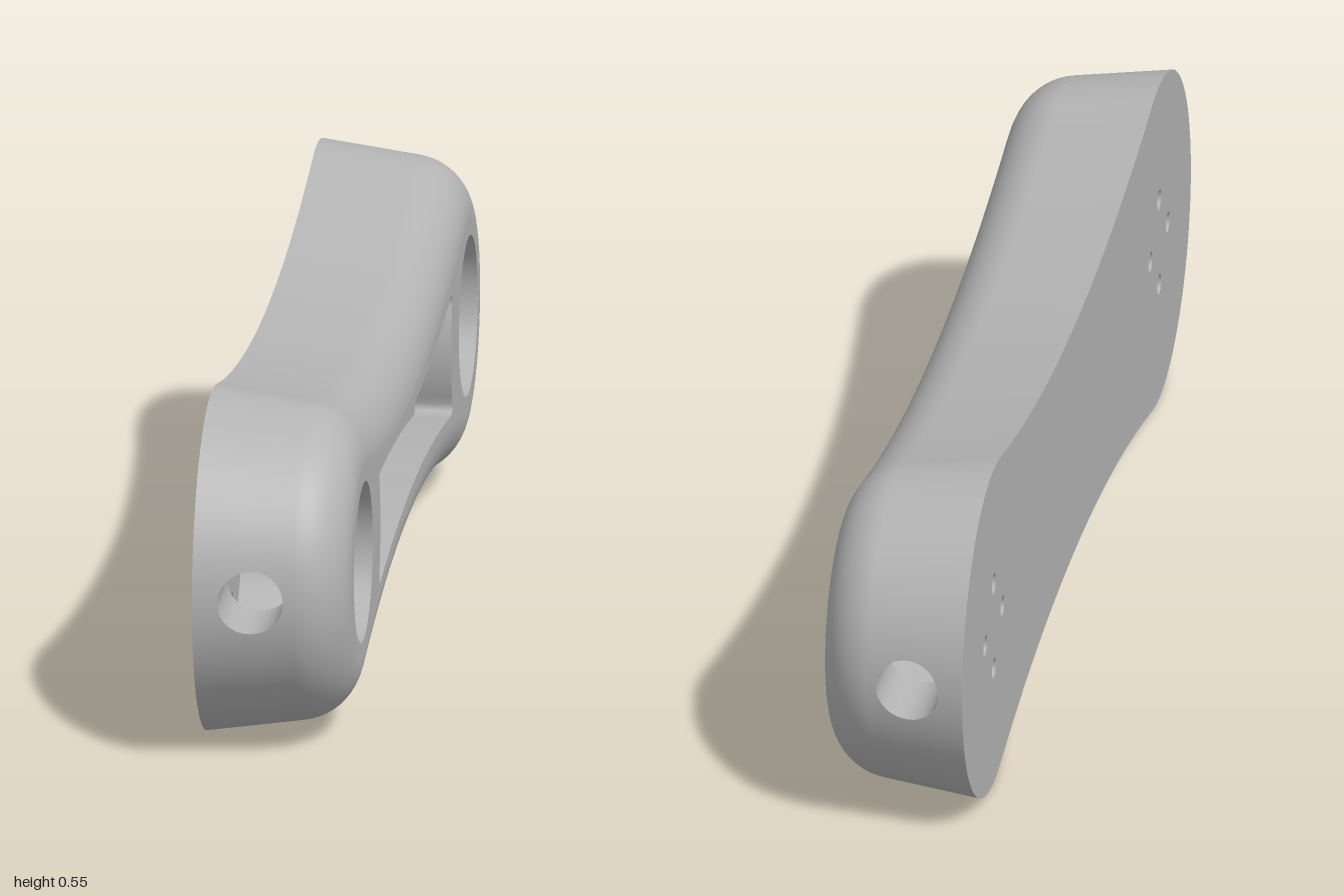
import * as THREE from 'three';
import { mergeGeometries } from 'three/addons/utils/BufferGeometryUtils.js';

// Main dimensions: body lies along z, flat back at -x, rounded front at +x
const BACK = -0.122, FRONT = 0.122, FLOOR = -0.09, RECESS = 0.062;
const END_Z = 0.7225, END_R = 0.2775, WAIST = 0.2;
const POCKET_R = 0.13, PIN_R = 0.017, PIN_OFFSET = 0.075;
const BORE_X = -0.03, BORE_R = 0.052;
const DRAFT = THREE.MathUtils.degToRad(7.9), FILLET = 0.1;

// Waist arc tangent to both end circles
const ARC_R = (END_Z ** 2 + WAIST ** 2 - END_R ** 2) / (2 * (END_R - WAIST));
const ARC_A = Math.asin(END_Z / (ARC_R + END_R));
const U_TAN = Math.PI / 2 + ARC_A, U_MAX = U_TAN + ARC_A;

// Fillet centre and the height where the drafted wall meets it
const FIL_X = FRONT - FILLET;
const FIL_IN = Math.tan(DRAFT) * (FIL_X - BACK) + FILLET / Math.cos(DRAFT);
const WALL_X = FIL_X + FILLET * Math.sin(DRAFT);

// Smooth surface f(u, v) sampled at uv(i, j); normals come from its slopes
function sheet(f, uv, ni, nj, sign) {
  const pos = [], nor = [], idx = [], e = 1e-4;
  const at = (u, v) => new THREE.Vector3(...f(u, v));
  const P = [], N = [];
  for (let j = 0; j <= nj; j++) for (let i = 0; i <= ni; i++) {
    const [u, v] = uv(i / ni, j / nj);
    const du = at(u + e, v).sub(at(u - e, v)), dv = at(u, v + e).sub(at(u, v - e));
    const p = at(u, v), n = du.cross(dv).normalize().multiplyScalar(sign);
    P.push(p); N.push(n);
    pos.push(p.x, p.y, p.z); nor.push(n.x, n.y, n.z);
  }
  const tri = (a, b, c) => {
    const g = P[b].clone().sub(P[a]).cross(P[c].clone().sub(P[a]));
    if (g.dot(N[a]) >= 0) idx.push(a, b, c); else idx.push(a, c, b);
  };
  for (let j = 0; j < nj; j++) for (let i = 0; i < ni; i++) {
    const a = j * (ni + 1) + i, b = a + 1, c = a + ni + 1, d = c + 1;
    tri(a, b, d); tri(a, d, c);
  }
  const g = new THREE.BufferGeometry();
  g.setAttribute('position', new THREE.Float32BufferAttribute(pos, 3));
  g.setAttribute('normal', new THREE.Float32BufferAttribute(nor, 3));
  g.setIndex(idx);
  return g;
}

const span = (u0, u1, v0, v1) => (s, t) => [u0 + (u1 - u0) * s, v0 + (v1 - v0) * t];

// Rectangle |u| < w, v0 < v < v1 with the round bore cut out; uvOf turns (x, y) into (u, v)
function boredPatch(f, w, v0, v1, uvOf, xyOf, sign) {
  const uv = (s, t) => {
    const k = (s % 1) * 4, side = Math.floor(k), q = k - side;
    const [u, v] = [
      [-w + 2 * w * q, v0], [w, v0 + (v1 - v0) * q],
      [w - 2 * w * q, v1], [-w, v1 - (v1 - v0) * q]][side];
    const [x, y] = xyOf(u, v), a = Math.atan2(y, x - BORE_X);
    const [hu, hv] = uvOf(BORE_X + BORE_R * Math.cos(a), BORE_R * Math.sin(a));
    return [u + (hu - u) * t, v + (hv - v) * t];
  };
  return sheet(f, uv, 64, 6, sign);
}

// Body outline: end circle for small |u|, then the concave waist arc
function outline(u) {
  if (Math.abs(u) <= U_TAN) {
    const ny = Math.sin(u), nz = Math.cos(u);
    return { y: END_R * ny, z: END_Z + END_R * nz, ny, nz };
  }
  const s = Math.sign(u), a = U_MAX - Math.abs(u);
  return { y: s * (WAIST + ARC_R - ARC_R * Math.cos(a)), z: ARC_R * Math.sin(a), ny: s * Math.cos(a), nz: -Math.sin(a) };
}

// Side profile: drafted wall for v in 0..1, fillet for v in 1..2
function profile(v) {
  if (v <= 1) {
    const x = BACK + v * (WALL_X - BACK);
    return [x, (x - BACK) * Math.tan(DRAFT)];
  }
  const a = DRAFT + (v - 1) * (Math.PI / 2 - DRAFT);
  return [FIL_X + FILLET * Math.sin(a), FIL_IN - FILLET * Math.cos(a)];
}

function skin(u, v) {
  const [x, inset] = profile(v), o = outline(u);
  return [x, o.y - o.ny * inset, o.z - o.nz * inset];
}

const endRadius = x => END_R - (x - BACK) * Math.tan(DRAFT);

const cylinder = (cy, cz, r, k = 1) => (u, x) => [x, cy + r * Math.sin(u), cz + k * r * Math.cos(u)];

// Central recess outline in (z, y)
function recessPoints() {
  const s = new THREE.Shape().moveTo(-0.48, 0.0992);
  for (const k of [1, -1]) {
    s.quadraticCurveTo(0, k * 0.0288, k * 0.48, k * 0.0992);
    s.quadraticCurveTo(k * 0.511, k * 0.104, k * 0.4998, k * 0.075);
    s.quadraticCurveTo(k * 0.4752, 0, k * 0.4998, -k * 0.075);
    s.quadraticCurveTo(k * 0.511, -k * 0.104, k * 0.48, -k * 0.0992);
  }
  return s;
}

const circlePath = (z, y, r) => new THREE.Path().absarc(z, y, r, 0, Math.PI * 2, false);
const pins = [[1, 0], [-1, 0], [0, 1], [0, -1]].map(([a, b]) => [a * PIN_OFFSET, b * PIN_OFFSET]);

// Flat plate across x, facing +x or -x
function plate(shape, x, dir) {
  return new THREE.ShapeGeometry(shape, 48).rotateY(dir * Math.PI / 2).translate(x, 0, 0);
}

// Closed body outline at profile position v
function bodyShape(v) {
  const half = [];
  const add = (u0, u1, n) => {
    for (let i = 0; i < n; i++) {
      const [, y, z] = skin(u0 + (u1 - u0) * i / n, v);
      half.push(new THREE.Vector2(z, y));
    }
  };
  add(-U_MAX, -U_TAN, 14); add(-U_TAN, U_TAN, 72); add(U_TAN, U_MAX, 14);
  return new THREE.Shape([...half, ...half.map(p => p.clone().negate())]);
}

export function createModel() {
  const grey = new THREE.MeshStandardMaterial({ color: 0xb4b4b4 });
  grey.name = 'grey';
  const mesh = (name, ...geos) => {
    const m = new THREE.Mesh(geos.length > 1 ? mergeGeometries(geos) : geos[0], grey);
    m.name = name;
    return m;
  };
  const model = new THREE.Group();
  model.name = 'linkArm';

  // One half of the arm; the other is the same half turned about x
  const half = new THREE.Group();
  half.name = 'armHalf';
  const W = 0.36;
  const toV = x => (x - BACK) / (WALL_X - BACK);
  const walls = [boredPatch(skin, W, 0, 1,
    (x, y) => [Math.asin(y / endRadius(x)), toV(x)],
    (u, v) => { const x = profile(v)[0]; return [x, endRadius(x) * Math.sin(u)]; }, -1)];
  for (const k of [1, -1]) {
    walls.push(sheet(skin, span(k * W, k * U_TAN, 0, 1), 28, 2, -1));
    walls.push(sheet(skin, span(k * U_TAN, k * U_MAX, 0, 1), 14, 2, -1));
    walls.push(sheet(skin, span(k * U_TAN, k * U_MAX, 1, 2), 14, 12, -1));
  }
  walls.push(sheet(skin, span(-U_TAN, U_TAN, 1, 2), 72, 12, -1));
  half.add(mesh('outerWall', ...walls));

  // Round pocket, with the bore entering on both sides
  const PW = 0.75, pocket = [];
  for (const k of [1, -1]) {
    pocket.push(boredPatch(cylinder(0, END_Z, POCKET_R, k), PW, FLOOR, FRONT,
      (x, y) => [Math.asin(y / POCKET_R), x],
      (u, x) => [x, POCKET_R * Math.sin(u)], k));
    pocket.push(sheet(cylinder(0, END_Z, POCKET_R), span(k * PW, k * (Math.PI - PW), FLOOR, FRONT), 24, 1, 1));
  }
  half.add(mesh('pocketWall', ...pocket));
  const floor = new THREE.Shape().absarc(END_Z, 0, POCKET_R, 0, Math.PI * 2, false);
  floor.holes = pins.map(([z, y]) => circlePath(END_Z + z, y, PIN_R));
  half.add(mesh('pocketFloor', plate(floor, FLOOR, 1).translate(0, 0, 2 * END_Z)));
  half.add(mesh('pinHoles', ...pins.map(([z, y]) =>
    sheet(cylinder(y, END_Z + z, PIN_R), span(0, Math.PI * 2, BACK, FLOOR), 48, 1, 1))));

  // Lengthwise bore, trimmed to the surfaces it meets
  const bore = (from, to) => sheet((a, t) => {
    const x = BORE_X + BORE_R * Math.cos(a), y = BORE_R * Math.sin(a);
    const z0 = from(x, y), z1 = to(x, y);
    return [x, y, z0 + (z1 - z0) * t];
  }, span(0, Math.PI * 2, 0, 1), 64, 1, -1);
  const pocketZ = y => Math.sqrt(POCKET_R ** 2 - y * y);
  half.add(mesh('bore',
    bore(() => 0, (x, y) => END_Z - pocketZ(y)),
    bore((x, y) => END_Z + pocketZ(y), (x, y) => END_Z + Math.sqrt(endRadius(x) ** 2 - y * y))));

  const otherHalf = half.clone();
  otherHalf.rotation.x = Math.PI;
  model.add(half, otherHalf);

  // Front face with pocket and recess openings
  const recess = recessPoints();
  const rim = recess.getSpacedPoints(200);
  const front = bodyShape(2);
  front.holes = [new THREE.Path(rim.slice(0, -1)), circlePath(END_Z, 0, POCKET_R), circlePath(-END_Z, 0, POCKET_R)];
  model.add(mesh('frontFace', plate(front, FRONT, 1)));

  // Back face with the pin holes
  const back = bodyShape(0);
  back.holes = [END_Z, -END_Z].flatMap(c => pins.map(([z, y]) => circlePath(c + z, y, PIN_R)));
  model.add(mesh('backFace', plate(back, BACK, -1)));

  // Central recess
  const recessWall = (u, x) => {
    const p = recess.getPointAt(THREE.MathUtils.clamp(u, 0, 1));
    return [x, p.y, p.x];
  };
  model.add(mesh('recessWall', sheet(recessWall, span(0, 1, RECESS, FRONT), 200, 1, -1)));
  model.add(mesh('recessFloor', plate(new THREE.Shape(rim.slice(0, -1)), RECESS, 1)));

  model.position.y = END_R;
  const root = new THREE.Group();
  root.add(model);
  return root;
}
